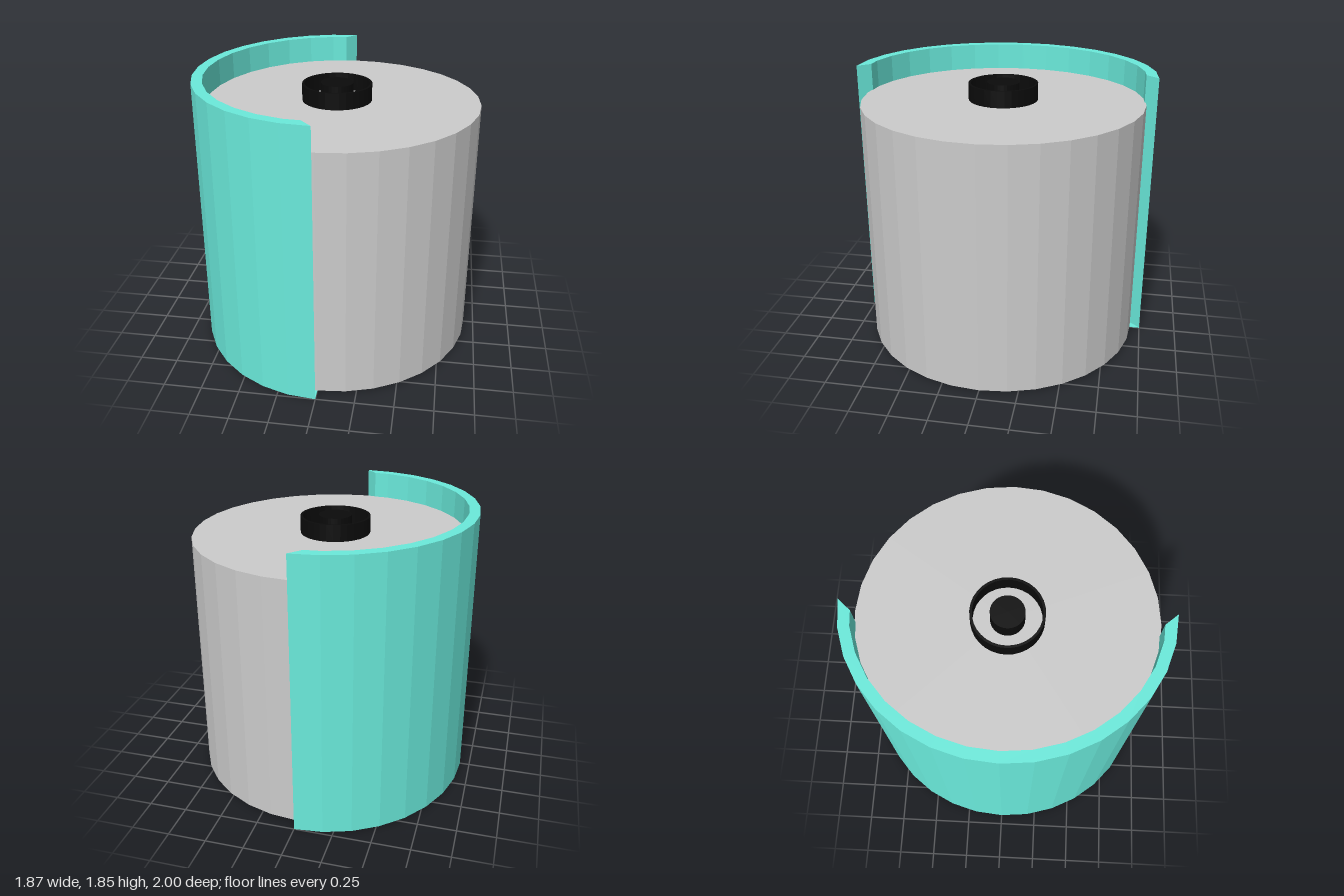
import * as THREE from 'three';

const SIDES = 32;

function material(color, extra = {}) {
  return new THREE.MeshStandardMaterial({ color, flatShading: true, ...extra });
}

// Points of a half ellipse on the -x side, from +y round to -y
function halfEllipse(rx, ry) {
  return Array.from({ length: 17 }, (_, i) => {
    const t = (i / 16) * Math.PI;
    return new THREE.Vector2(-rx * Math.sin(t), ry * Math.cos(t));
  });
}

// Extrude a plan outline upwards from y0 to y1
function prism(points, y0, y1) {
  const g = new THREE.ExtrudeGeometry(new THREE.Shape(points), { depth: y1 - y0, bevelEnabled: false });
  return g.rotateX(-Math.PI / 2).translate(0, y0, 0);
}

export function createModel() {
  const model = new THREE.Group();
  model.name = 'drumInHalfShell';
  const grey = material(0xcccccc);
  const teal = material(0x6aeadb);
  const black = material(0x0b0b0b);
  const blackOpen = material(0x0b0b0b, { side: THREE.DoubleSide });

  function add(name, geometry, mat) {
    const mesh = new THREE.Mesh(geometry, mat);
    mesh.name = name;
    model.add(mesh);
    return mesh;
  }

  function cylinder(name, r, y0, y1, mat) {
    const mesh = add(name, new THREE.CylinderGeometry(r, r, y1 - y0, SIDES), mat);
    mesh.position.y = (y0 + y1) / 2;
    return mesh;
  }

  // Half shell: curved wall with slanted ends, standing on a thin half floor
  const outer = halfEllipse(0.935, 1);
  const inner = halfEllipse(0.865, 0.93);
  inner[0].set(-0.07, 0.92);
  inner[16].set(-0.07, -0.92);
  add('shellWall', prism([...outer, ...inner.reverse()], 0, 1.845), teal);
  add('shellFloor', prism(outer, 0, 0.004), teal);

  // Main drum
  const drum = cylinder('drum', 0.93, 0.015, 1.665, grey);
  drum.scale.z = 1.003;

  // Thin collar on top, open above, around the axle end
  const collar = [[0.229, 1.665], [0.229, 1.775], [0.213, 1.775], [0.213, 1.665]];
  add('topCollar', new THREE.LatheGeometry(collar.map(([r, y]) => new THREE.Vector2(r, y)), SIDES), blackOpen)
    .position.x = -0.005;
  cylinder('axleEnd', 0.107, 1.665, 1.78, black).position.x = -0.005;

  // Flat hub plate underneath
  cylinder('bottomHub', 0.229, 0.006, 0.016, black).position.x = -0.005;

  return model;
}
